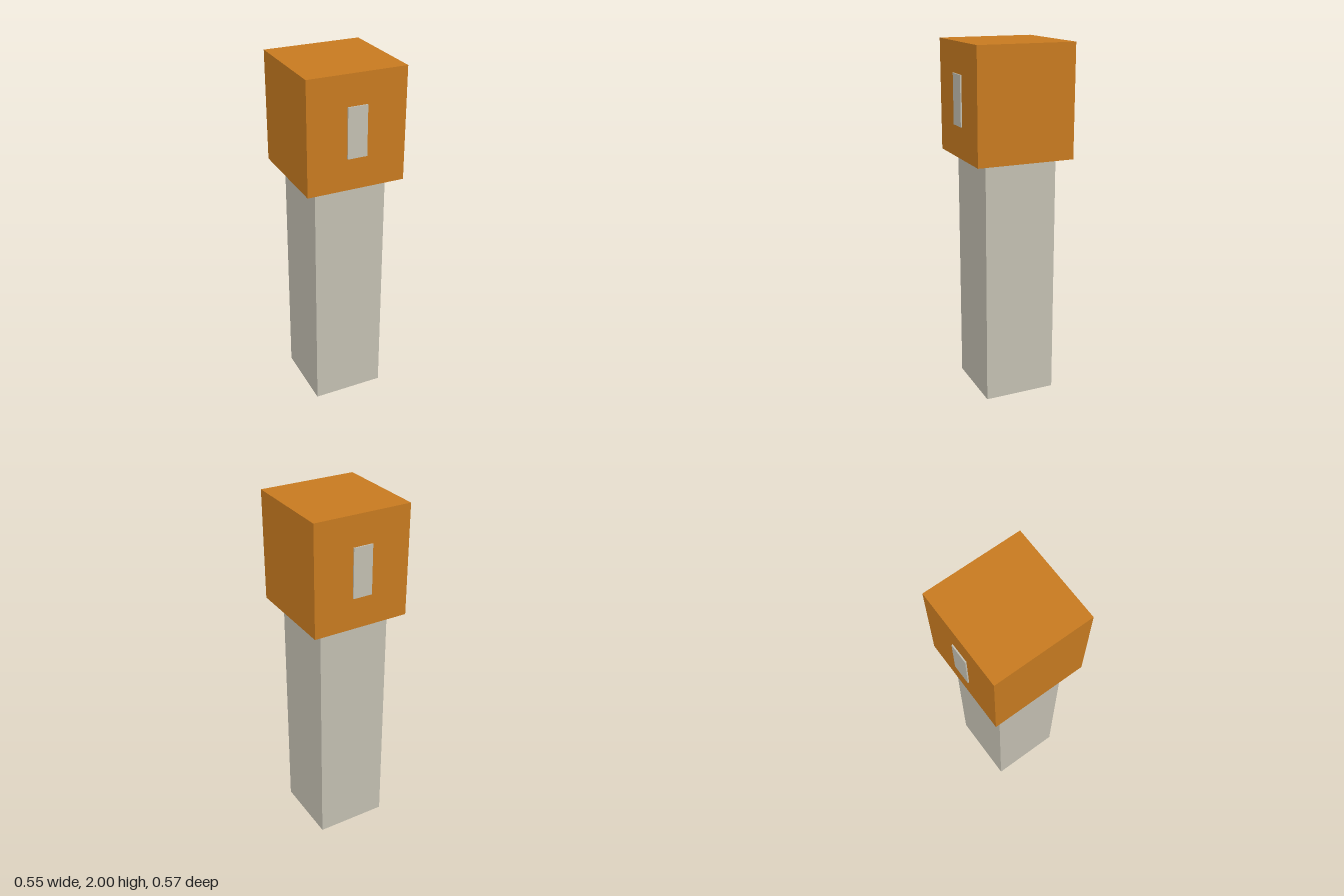
import * as THREE from 'three';

export function createModel() {
  const model = new THREE.Group();
  const stone = new THREE.MeshStandardMaterial({ color: 0xc4c0b2 });
  stone.name = 'pale stone';
  const orange = new THREE.MeshStandardMaterial({ color: 0xc87b20 });
  orange.name = 'orange';

  // Box with its base at height y
  function box(name, material, w, h, d, y, z = 0) {
    const mesh = new THREE.Mesh(new THREE.BoxGeometry(w, h, d), material);
    mesh.name = name;
    mesh.position.set(0, y + h / 2, z);
    model.add(mesh);
  }

  // Square post and its larger block head
  box('post', stone, 0.41, 1.38, 0.41, 0);
  box('head', orange, 0.552, 0.62, 0.552, 1.38);

  // Thin raised plates on the front and back of the head
  for (const side of [1, -1]) {
    box(side > 0 ? 'frontPlate' : 'backPlate', stone, 0.11, 0.276, 0.009, 1.556, side * 0.279);
  }
  return model;
}
